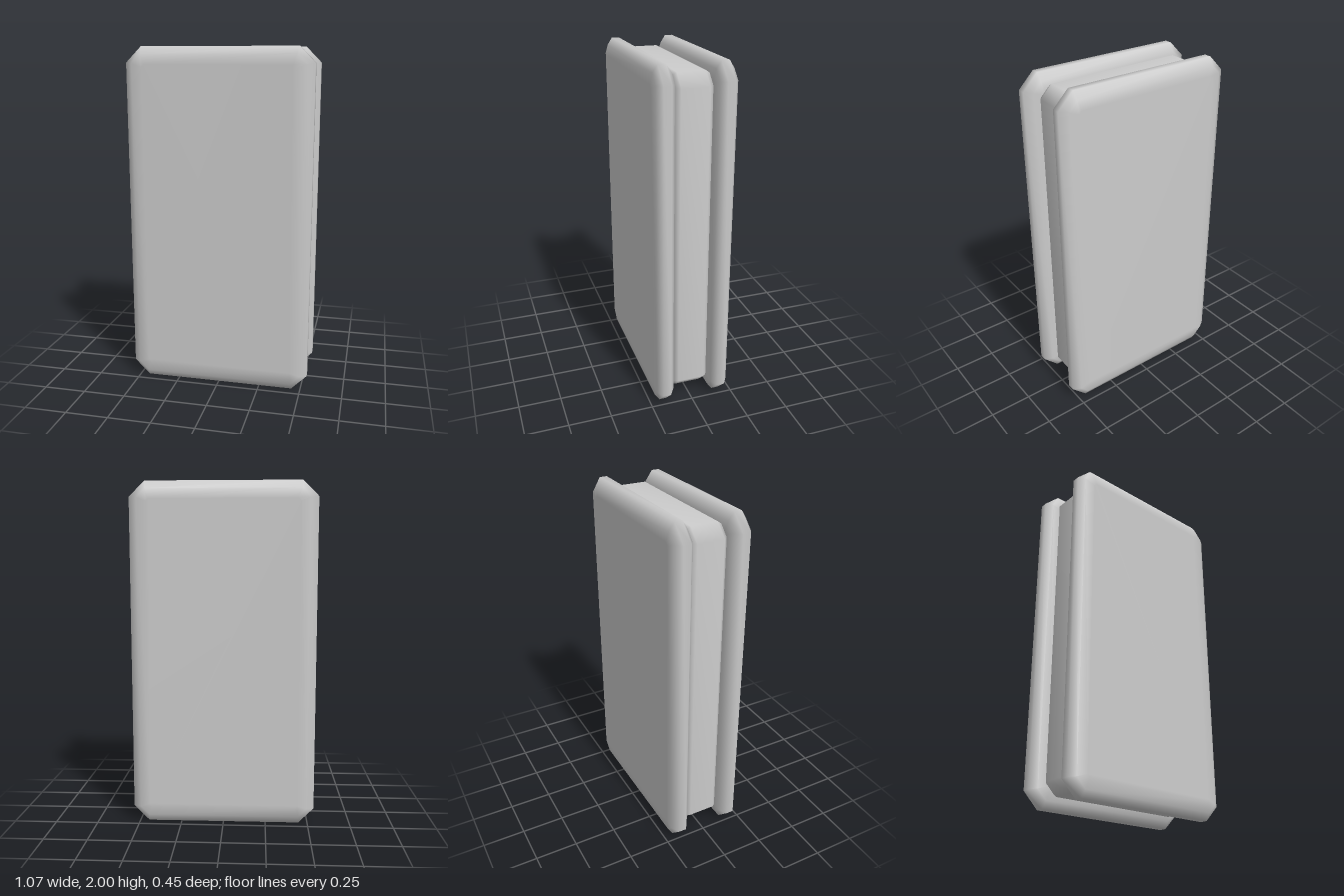
import * as THREE from 'three';

const material = new THREE.MeshStandardMaterial({ color: 0xcccccc });

// Rectangle with cut corners, counter-clockwise seen from +z.
function cutRectangle(hx, hy, cut) {
  return [
    [hx, -hy + cut], [hx, hy - cut], [hx - cut, hy], [-hx + cut, hy],
    [-hx, hy - cut], [-hx, -hy + cut], [-hx + cut, -hy], [hx - cut, -hy],
  ];
}

// Softly shaded slab lofted through rings of [inset, z, corner cut], back to front.
function slabGeometry(hx, hy, rings) {
  const positions = [], index = [], n = 8;
  for (const [inset, z, cut] of rings) {
    for (const [x, y] of cutRectangle(hx - inset, hy - inset, cut)) positions.push(x, y, z);
  }
  for (let r = 0; r < rings.length - 1; r++) {
    for (let i = 0; i < n; i++) {
      const a = r * n + i, b = r * n + (i + 1) % n;
      index.push(a, b, b + n, a, b + n, a + n);
    }
  }
  // Flat faces at both ends
  const last = (rings.length - 1) * n;
  for (let i = 1; i < n - 1; i++) {
    index.push(0, i + 1, i, last, last + i, last + i + 1);
  }
  const geometry = new THREE.BufferGeometry();
  geometry.setAttribute('position', new THREE.Float32BufferAttribute(positions, 3));
  geometry.setIndex(index);
  geometry.computeVertexNormals();
  return geometry;
}

export function createModel() {
  const group = new THREE.Group();
  const add = (name, geometry, y, z) => {
    const mesh = new THREE.Mesh(geometry, material);
    mesh.name = name;
    mesh.position.set(0, y, z);
    group.add(mesh);
  };

  // Two matching outer plates
  const plate = slabGeometry(0.537, 1, [
    [0.1, -0.056, 0.015], [0.045, -0.051, 0.05], [0, -0.022, 0.09],
    [0, 0.022, 0.09], [0.04, 0.05, 0.055], [0.1, 0.056, 0.015],
  ]);
  add('frontPlate', plate, 1, 0.168);
  add('backPlate', plate, 1, -0.168);

  // Thicker, smaller core between them
  const core = slabGeometry(0.476, 0.946, [
    [0.05, -0.112, 0.025], [0.014, -0.098, 0.055], [0, -0.078, 0.07],
    [0, 0.078, 0.07], [0.014, 0.098, 0.055], [0.05, 0.112, 0.025],
  ]);
  add('core', core, 1.003, 0);

  return group;
}
